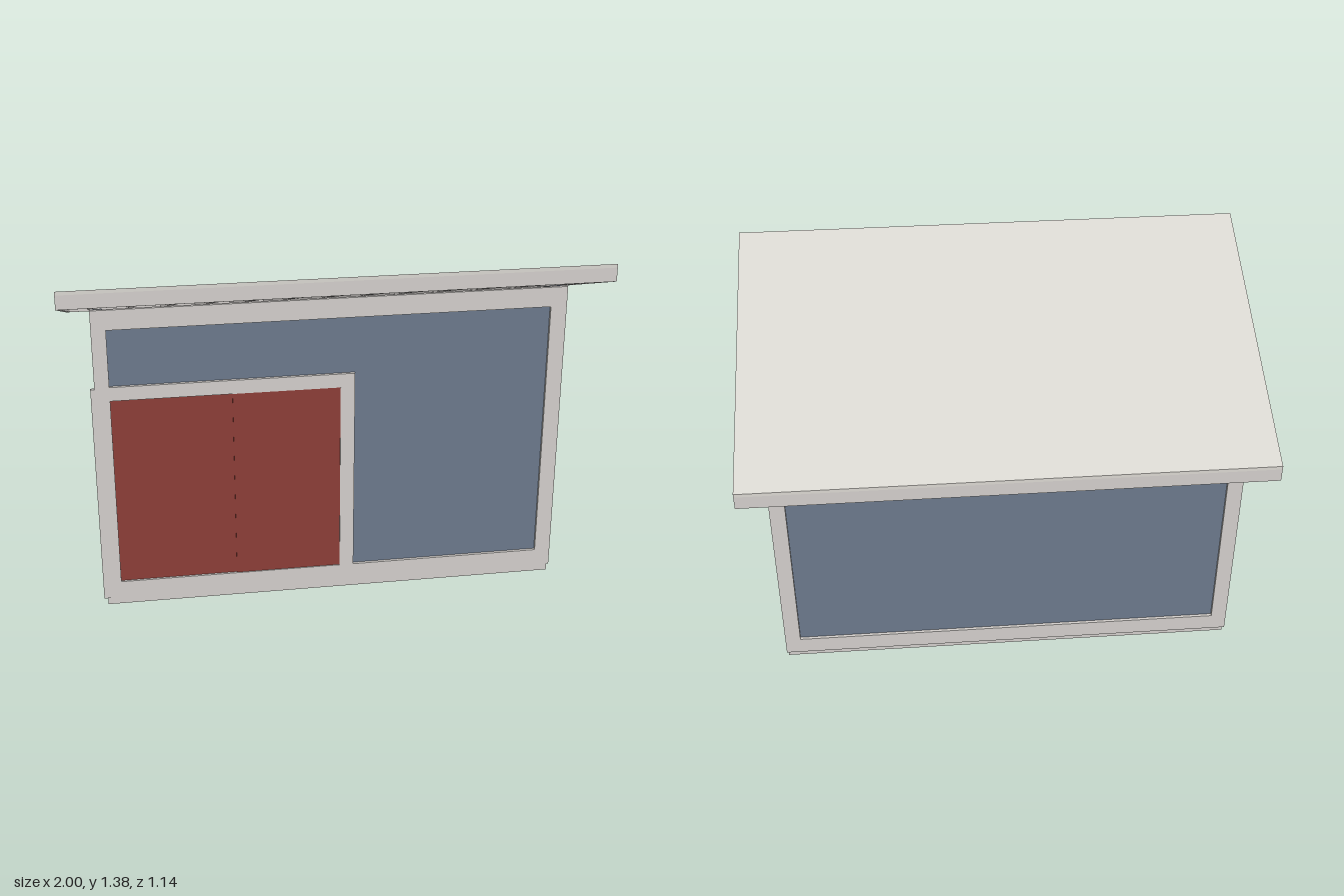
import * as THREE from 'three';

const mat = (name, color) => new THREE.MeshStandardMaterial({ name, color });

export function createModel() {
  const wood = mat('pale trim', 0xd0ccc9);
  const roofing = mat('roof sheet', 0xd8d5cf);
  const blue = mat('blue panel', 0x6a778a);
  const red = mat('red door', 0x8a3d37);
  const root = new THREE.Group();
  root.name = 'shed';

  const add = (name, geometry, material) => {
    const mesh = new THREE.Mesh(geometry, material);
    mesh.name = name;
    root.add(mesh);
    return mesh;
  };
  const box = (name, material, x0, x1, y0, y1, z0, z1) => {
    const g = new THREE.BoxGeometry(x1 - x0, y1 - y0, z1 - z0);
    g.translate((x0 + x1) / 2, (y0 + y1) / 2, (z0 + z1) / 2);
    return add(name, g, material);
  };
  const outline = (pts, holes = []) => {
    const toV = (p) => p.map(([a, b]) => new THREE.Vector2(a, b));
    const shape = new THREE.Shape(toV(pts));
    holes.forEach((h) => shape.holes.push(new THREE.Path(toV(h))));
    return shape;
  };
  const rect = (a0, a1, b0, b1) => [[a0, b0], [a1, b0], [a1, b1], [a0, b1]];
  // Outline in (x, y), extruded from z0 to z1
  const alongZ = (name, material, z0, z1, pts, holes) => {
    const g = new THREE.ExtrudeGeometry(outline(pts, holes), { depth: z1 - z0, bevelEnabled: false });
    g.translate(0, 0, z0);
    return add(name, g, material);
  };
  // Outline in (z, y), extruded from x0 to x1
  const alongX = (name, material, x0, x1, pts, holes) => {
    const g = new THREE.ExtrudeGeometry(outline(pts, holes), { depth: x1 - x0, bevelEnabled: false });
    g.rotateY(-Math.PI / 2);
    g.translate(x1, 0, 0);
    return add(name, g, material);
  };

  // Height of the sloped roof top at depth z
  const slope = 0.42 / 1.14;
  const top = (z) => 1.385 + (z - 0.57) * slope;
  const sloped = (z0, z1, d0, d1) =>
    [[z0, top(z0) - d1], [z1, top(z1) - d1], [z1, top(z1) - d0], [z0, top(z0) - d0]];
  const deep = 0.067;

  // Skids, rim beams, joists and deck
  for (const [z0, z1] of [[0.305, 0.34], [-0.44, -0.41]]) {
    box('skid', wood, -0.89, 0.89, 0, 0.03, z0, z1);
    box('rimBeam', wood, -0.87, 0.87, 0.03, 0.09, z0 + 0.005, z1 - 0.005);
  }
  for (let i = 0; i < 13; i++) {
    const x = -0.865 + (i * 1.73) / 12;
    box('floorJoist', wood, x - 0.011, x + 0.011, 0.031, 0.09, -0.41, 0.31);
    const r = -0.886 + (i * 1.772) / 12;
    alongX('rafter', wood, r - 0.01, r + 0.01, sloped(-0.555, 0.555, 0.014, deep));
  }
  box('floorDeck', wood, -0.87, 0.87, 0.09, 0.1, -0.435, 0.33);

  // Front wall: L-shaped blue panel behind an L-shaped frame with a door opening
  alongZ('frontWall', blue, 0.3, 0.333, rect(-0.86, 0.86, 0.1, 1.2));
  alongZ('frontTrim', wood, 0.333, 0.345,
    [[-0.905, 0.03], [0.897, 0.03], [0.897, 1.228], [-0.89, 1.228], [-0.89, 0.92], [-0.905, 0.92]],
    [
      rect(-0.835, 0.03, 0.1, 0.87),
      [[0.085, 0.1], [0.835, 0.1], [0.835, 1.15], [-0.835, 1.15], [-0.835, 0.925], [0.085, 0.925]],
    ]);
  box('frontDoorLeaf', red, -0.845, -0.38, 0.1, 0.87, 0.33, 0.336);
  box('frontDoorLeaf', red, -0.38, 0.03, 0.1, 0.87, 0.333, 0.341);

  // Back wall and frame
  box('backWall', blue, -0.86, 0.86, 0.1, 0.93, -0.443, -0.41);
  alongZ('backTrim', wood, -0.455, -0.443, rect(-0.895, 0.895, 0.03, 0.936),
    [rect(-0.835, 0.835, 0.1, 0.87)]);

  // Side walls, each with a door and a triangular upper panel
  const gable = (z0, z1, y0) => [[z0, y0], [z1, y0], [z1, top(z1) - deep], [z0, top(z0) - deep]];
  for (const s of [-1, 1]) {
    const span = (a, b) => (s > 0 ? [a, b] : [-b, -a]);
    alongX('sideWall', blue, ...span(0.845, 0.878), gable(-0.435, 0.33, 0.1));
    alongX('sideTrim', wood, ...span(0.878, 0.89), gable(-0.443, 0.334, 0.03), [
      rect(-0.35, 0.245, 0.1, 0.87),
      [[-0.31, 0.92], [0.285, 0.92], [0.285, 1.14]],
    ]);
    alongX('sideDoor', red, ...span(0.877, 0.882), rect(-0.35, 0.245, 0.1, 0.87));
    // Sloped boards closing the roof ends
    alongX('bargeBoard', wood, ...span(0.985, 1), sloped(-0.57, 0.57, 0.014, deep));
  }

  // Roof sheet with front and back fascia
  alongX('roofSheet', roofing, -1, 1, sloped(-0.57, 0.57, 0, 0.014));
  alongX('frontFascia', wood, -0.985, 0.985, sloped(0.555, 0.57, 0.014, deep));
  alongX('backFascia', wood, -0.985, 0.985, sloped(-0.57, -0.555, 0.014, deep));

  return root;
}
